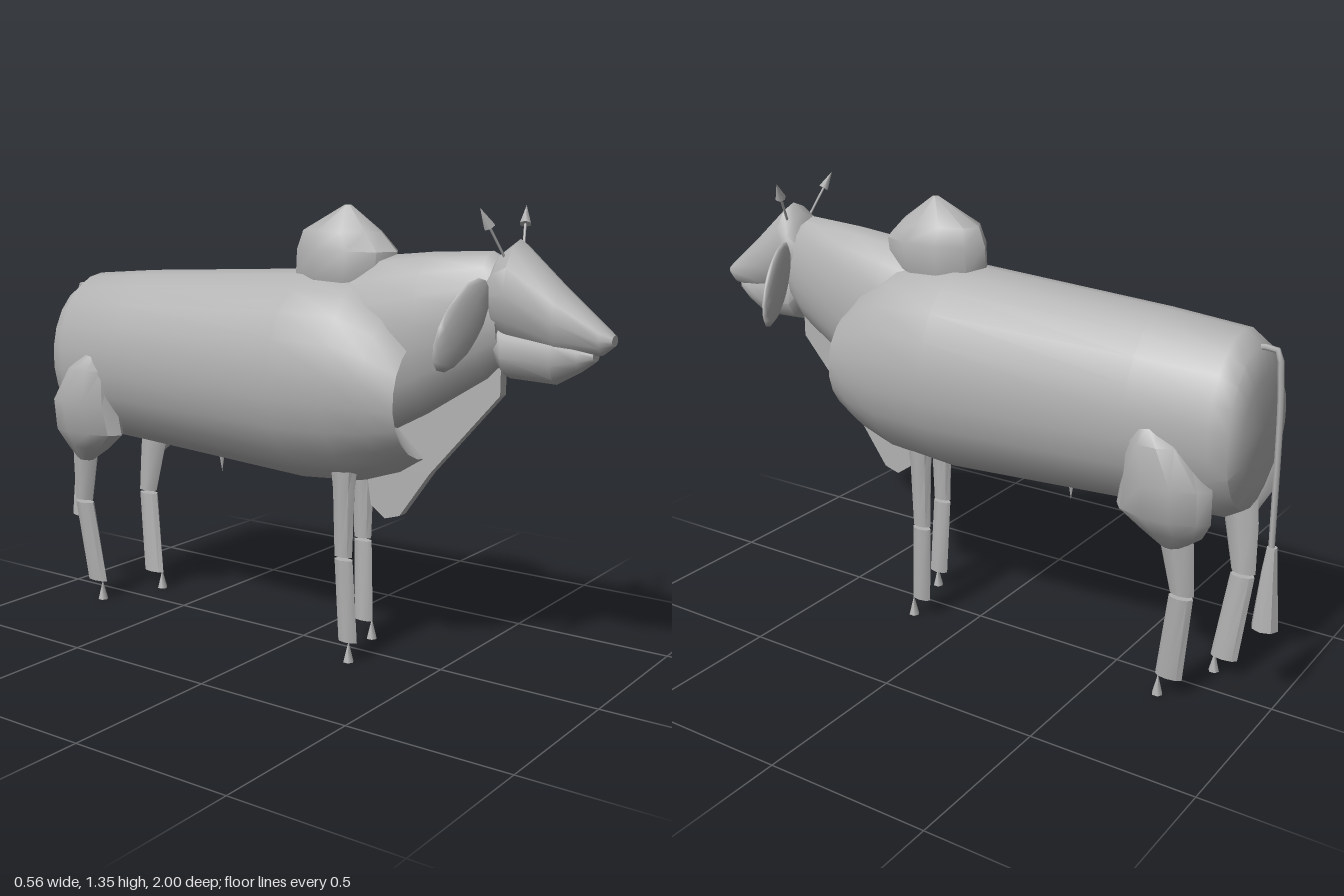
import * as THREE from 'three';
import { toCreasedNormals } from 'three/addons/utils/BufferGeometryUtils.js';

// Closed loft along z; rings run from high z to low z: [z, yMin, yMax, halfWidth, centreX]
function loft(rings, sides = 18) {
  const pos = [], idx = [], n = rings.length;
  for (const [z, y0, y1, w, cx = 0] of rings) {
    for (let i = 0; i < sides; i++) {
      const a = (i / sides) * Math.PI * 2 + Math.PI / 2;
      pos.push(cx + Math.cos(a) * w, (y0 + y1) / 2 + (Math.sin(a) * (y1 - y0)) / 2, z);
    }
  }
  for (const r of [rings[0], rings[n - 1]]) pos.push(r[4] || 0, (r[1] + r[2]) / 2, r[0]);
  for (let i = 0; i < sides; i++) {
    const k = (i + 1) % sides, last = (n - 1) * sides;
    for (let j = 0; j < n - 1; j++) {
      const a = j * sides + i, b = a + sides, c = j * sides + k, d = c + sides;
      idx.push(a, b, c, c, b, d);
    }
    idx.push(n * sides, i, k, n * sides + 1, last + k, last + i);
  }
  const g = new THREE.BufferGeometry();
  g.setAttribute('position', new THREE.Float32BufferAttribute(pos, 3));
  g.setIndex(idx);
  return toCreasedNormals(g, 0.75);
}

// Upright loft from top to bottom: [y, zFront, zBack, halfWidth, centreX]
function upright(rings, sides = 8) {
  return loft(rings.map(([y, zf, zb, w, cx]) => [y, -zf, -zb, w, cx]), sides).rotateX(-Math.PI / 2);
}

export function createModel() {
  const hide = new THREE.MeshStandardMaterial({ color: 0xb2b2b2 });
  hide.name = 'grey hide';
  const model = new THREE.Group();
  const add = (name, geometry) => {
    const m = new THREE.Mesh(geometry, hide);
    m.name = name;
    model.add(m);
    return m;
  };

  // Barrel with a hollow chest opening around the neck
  add('body', loft([
    [0.34, 0.72, 0.92, 0.1],
    [0.44, 0.63, 1.0, 0.19],
    [0.36, 0.58, 1.08, 0.225],
    [0.24, 0.54, 1.15, 0.252],
    [0.05, 0.525, 1.16, 0.252],
    [-0.6, 0.56, 1.125, 0.22],
    [-0.84, 0.57, 1.105, 0.2],
    [-0.89, 0.6, 1.07, 0.185],
    [-0.915, 0.68, 0.99, 0.15],
  ], 22));

  add('neck', loft([
    [0.69, 0.93, 1.2, 0.08],
    [0.64, 0.88, 1.235, 0.098],
    [0.45, 0.76, 1.225, 0.12],
    [0.3, 0.68, 1.21, 0.14],
    [0.12, 0.72, 1.15, 0.13],
  ]));

  add('head', loft([
    [1.0, 1.0, 1.03, 0.02],
    [0.97, 0.975, 1.055, 0.037],
    [0.85, 0.96, 1.155, 0.068],
    [0.72, 0.98, 1.27, 0.097],
    [0.68, 1.0, 1.24, 0.097],
    [0.64, 1.05, 1.17, 0.07],
  ], 12));

  add('jaw', loft([
    [0.95, 0.955, 0.99, 0.022],
    [0.91, 0.925, 1.01, 0.04],
    [0.84, 0.885, 1.05, 0.055],
    [0.7, 0.89, 1.07, 0.072],
    [0.63, 0.98, 1.12, 0.06],
  ], 10));

  add('hump', upright([
    [1.35, 0.17, 0.15, 0.008],
    [1.275, 0.275, 0.005, 0.075],
    [1.22, 0.33, -0.015, 0.098],
    [1.14, 0.32, -0.02, 0.095],
    [1.08, 0.27, 0.03, 0.08],
  ], 10));

  // Thin fold of skin under the throat
  const fold = new THREE.Shape([
    [0.68, 0.93], [0.68, 0.84], [0.46, 0.59], [0.36, 0.45], [0.31, 0.435],
    [0.26, 0.47], [0.24, 0.6], [0.35, 0.85],
  ].map(([z, y]) => new THREE.Vector2(-z, y)));
  const foldGeo = new THREE.ExtrudeGeometry(fold, { depth: 0.034, bevelEnabled: false });
  add('dewlap', foldGeo.translate(0, 0, -0.017).rotateY(Math.PI / 2));

  for (const s of [1, -1]) {
    const side = s > 0 ? 'left' : 'right';

    const ear = add(side + 'Ear', new THREE.SphereGeometry(1, 12, 8).scale(0.143, 0.07, 0.018));
    ear.position.set(s * 0.18, 1.05, 0.645);
    ear.rotation.set(0, s * 0.28, -s * 0.91);

    // Slim stalk that ends in a pointed tip
    const horn = new THREE.Group();
    horn.name = side + 'Horn';
    const stalk = new THREE.Mesh(new THREE.CylinderGeometry(0.004, 0.004, 0.1, 6), hide);
    const tip = new THREE.Mesh(new THREE.ConeGeometry(0.017, 0.06, 6), hide);
    stalk.name = 'hornStalk';
    tip.name = 'hornTip';
    stalk.position.y = 0.05;
    tip.position.y = 0.125;
    horn.add(stalk, tip);
    horn.position.set(s * 0.055, 1.225, 0.7);
    horn.rotation.set(-0.25, 0, -s * 0.53);
    model.add(horn);

    // Front leg, staggered as in a slow step
    const f = s > 0 ? 0 : 0.07, x = s * 0.105;
    add(side + 'FrontUpperLeg', upright([
      [0.68, 0.21 + f, 0.1 + f, 0.04, x],
      [0.53, 0.19 + f, 0.115 + f, 0.025, x],
      [0.325, 0.183 + f, 0.12 + f, 0.018, x],
    ]));
    add(side + 'FrontLowerLeg', upright([
      [0.315, 0.185 + f, 0.12 + f, 0.018, x],
      [0.06, 0.197 + f, 0.13 + f, 0.016, x - s * 0.008],
    ]));

    // Hind leg and thigh
    const h = s > 0 ? 0 : -0.088;
    add(side + 'Thigh', upright([
      [0.86, -0.62 + h * 0.5, -0.7 + h * 0.5, 0.045, s * 0.165],
      [0.81, -0.592 + h * 0.5, -0.77 + h * 0.5, 0.065, s * 0.17],
      [0.7, -0.582 + h * 0.5, -0.85 + h * 0.5, 0.072, s * 0.168],
      [0.6, -0.565 + h * 0.5, -0.85 + h * 0.5, 0.062, s * 0.165],
      [0.545, -0.63 + h * 0.6, -0.82 + h * 0.5, 0.045, s * 0.15],
      [0.49, -0.69 + h, -0.75 + h, 0.018, s * 0.13],
    ], 10));
    add(side + 'HindUpperLeg', upright([
      [0.6, -0.65 + h, -0.775 + h, 0.035, s * 0.125],
      [0.5, -0.68 + h, -0.785 + h, 0.028, s * 0.12],
      [0.345, -0.715 + h, -0.79 + h, 0.02, s * 0.112],
    ]));
    add(side + 'HindLowerLeg', upright([
      [0.335, -0.713 + h, -0.788 + h, 0.022, s * 0.112],
      [0.06, -0.675 + h, -0.76 + h, 0.016, s * 0.095],
    ]));

    // Small pointed hooves
    for (const [name, z] of [['Front', s > 0 ? 0.188 : 0.243], ['Hind', s > 0 ? -0.69 : -0.772]]) {
      const hoof = add(side + name + 'Hoof', new THREE.ConeGeometry(0.017, 0.065, 6));
      hoof.position.set(s * 0.106, 0.0325, z);
    }
  }

  const tailPath = new THREE.CatmullRomCurve3([
    new THREE.Vector3(0, 1.06, -0.87), new THREE.Vector3(0, 1.06, -0.935),
    new THREE.Vector3(0, 0.98, -0.95), new THREE.Vector3(0, 0.47, -0.962),
  ], false, 'centripetal');
  add('tail', new THREE.TubeGeometry(tailPath, 20, 0.009, 6));
  add('tailTuft', upright([
    [0.5, -0.948, -0.978, 0.014],
    [0.42, -0.937, -0.985, 0.022],
    [0.25, -0.92, -1.0, 0.035],
  ]));

  const sheath = add('bellyPoint', new THREE.ConeGeometry(0.012, 0.07, 6).rotateX(Math.PI));
  sheath.position.set(0, 0.525, -0.325);

  return model;
}
